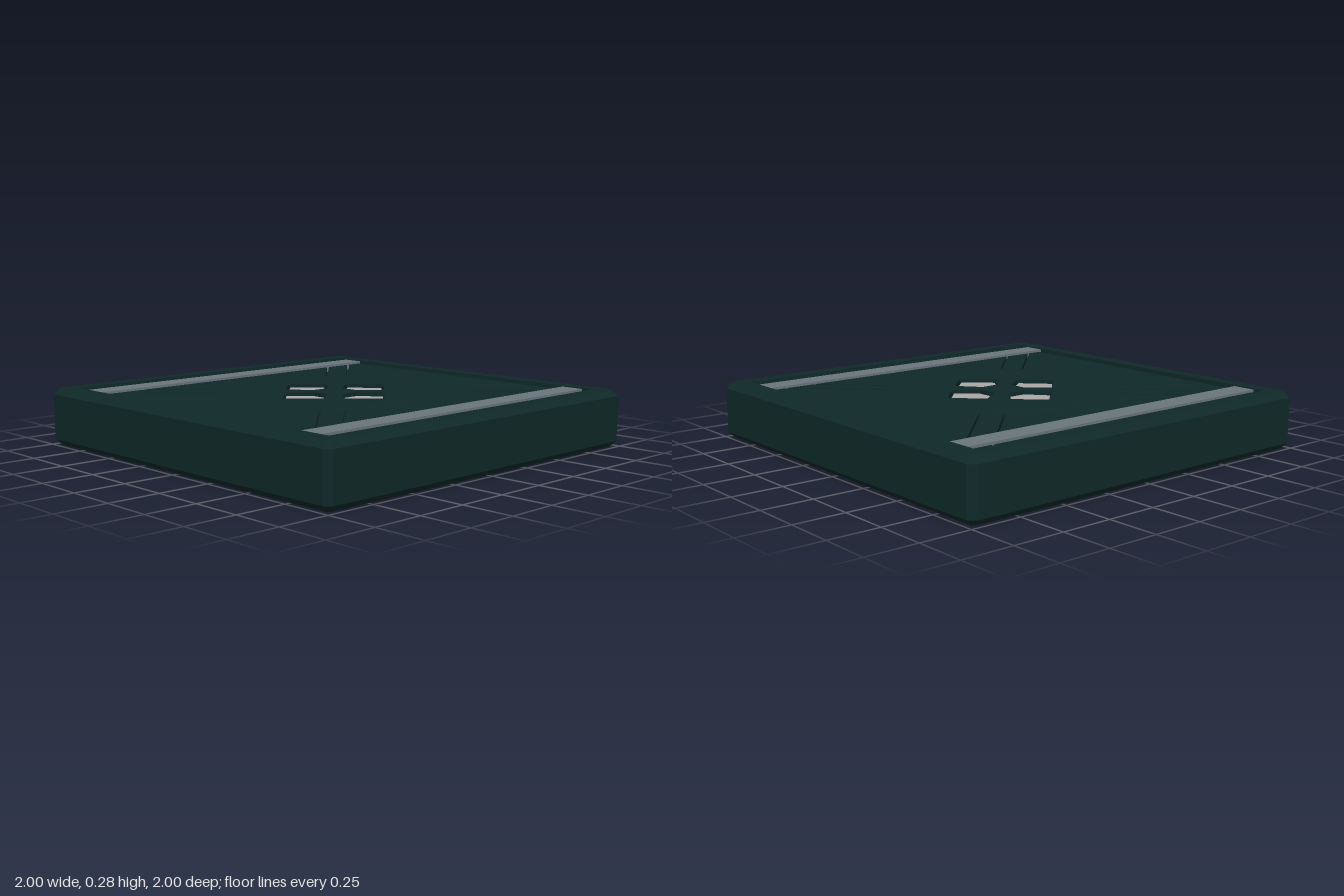
import * as THREE from 'three';

const body = new THREE.MeshStandardMaterial({ color: 0x0f2828, flatShading: true });
const stripMat = new THREE.MeshStandardMaterial({ color: 0x6a757c });
const gemMat = new THREE.MeshStandardMaterial({ color: 0xaaa6a5 });

const FLOOR = 0.24, PANEL = 0.268, DISC = 0.272;

// Square outline with cut corners: half size h, cut c
const ring = (h, c, y) => [
  [h, -h + c], [h, h - c], [h - c, h], [-h + c, h],
  [-h, h - c], [-h, -h + c], [-h + c, -h], [h - c, -h],
].map(([x, z]) => [x, y, z]);

// Skin between successive outlines
function loft(rings) {
  const pos = [];
  for (let i = 0; i < rings.length - 1; i++) {
    const lo = rings[i], hi = rings[i + 1];
    for (let j = 0; j < lo.length; j++) {
      const k = (j + 1) % lo.length;
      pos.push(...lo[j], ...hi[j], ...lo[k], ...hi[j], ...hi[k], ...lo[k]);
    }
  }
  const g = new THREE.BufferGeometry();
  g.setAttribute('position', new THREE.Float32BufferAttribute(pos, 3));
  g.computeVertexNormals();
  return g;
}

const points = (list) => list.map(([x, y]) => new THREE.Vector2(x, y));
const turn = (pts, a) => pts.map((p) => p.clone().rotateAround(new THREE.Vector2(), a));

// Horizontal plate from a flat outline with holes
function plate(outline, holes, y0, y1) {
  const shape = new THREE.Shape(outline);
  shape.holes = holes.map((h) => new THREE.Path(h));
  return new THREE.ExtrudeGeometry(shape, { depth: y1 - y0, bevelEnabled: false })
    .rotateX(-Math.PI / 2).translate(0, y0, 0);
}

export function createModel() {
  const model = new THREE.Group();
  const add = (name, geometry, material) => {
    const mesh = new THREE.Mesh(geometry, material);
    mesh.name = name;
    model.add(mesh);
    return mesh;
  };

  // Bevelled slab with a shallow tray in its top
  add('slab', loft([
    ring(0, 0, 0), ring(0.97, 0.015, 0), ring(1, 0.03, 0.03), ring(1, 0.03, 0.255),
    ring(0.97, 0.015, 0.285), ring(0.9, 0, 0.285), ring(0.895, 0, FLOOR), ring(0, 0, FLOOR),
  ]), body);

  // Outlines of the four sockets, their inlays and the diagonal grooves
  const socket = points([[0, 0.342], [0.137, 0.211], [0.05, 0.1], [-0.05, 0.1], [-0.137, 0.211]]);
  const inlay = points([[0, 0.33], [0.125, 0.21], [0.044, 0.11], [-0.044, 0.11], [-0.125, 0.21]]);
  const sockets = [], grooves = [];
  for (let i = 0; i < 4; i++) {
    const a = i * Math.PI / 2;
    sockets.push(turn(socket, a));
    add('inlay', plate(turn(inlay, a), [], FLOOR, 0.255), gemMat);
    for (const s of [-0.057, 0.057]) {
      const slot = points([[0.57, s - 0.005], [1.15, s - 0.005], [1.15, s + 0.005], [0.57, s + 0.005]]);
      grooves.push(turn(slot, a + Math.PI / 4));
    }
  }

  // Inset panel, leaving a narrow groove inside the frame
  const h = 0.883;
  add('topPanel', plate(points([[-h, -h], [h, -h], [h, h], [-h, h]]),
    [...sockets, ...grooves], FLOOR, PANEL), body);

  // Faintly raised octagonal centre with a sloping rim
  const octagon = [];
  for (let i = 0; i < 8; i++) octagon.push(turn(points([[0.53, 0]]), i * Math.PI / 4)[0]);
  add('centreDisc', plate(octagon, sockets, PANEL, DISC), body);
  add('centreRim', new THREE.LatheGeometry(points([[0.57, PANEL], [0.53, DISC]]), 8), body);

  // Two long rails along the sides
  for (const s of [-1, 1]) {
    const rail = add(s > 0 ? 'leftRail' : 'rightRail', new THREE.BoxGeometry(0.117, 0.04, 1.796), stripMat);
    rail.position.set(s * 0.778, 0.26, 0);
  }
  return model;
}
